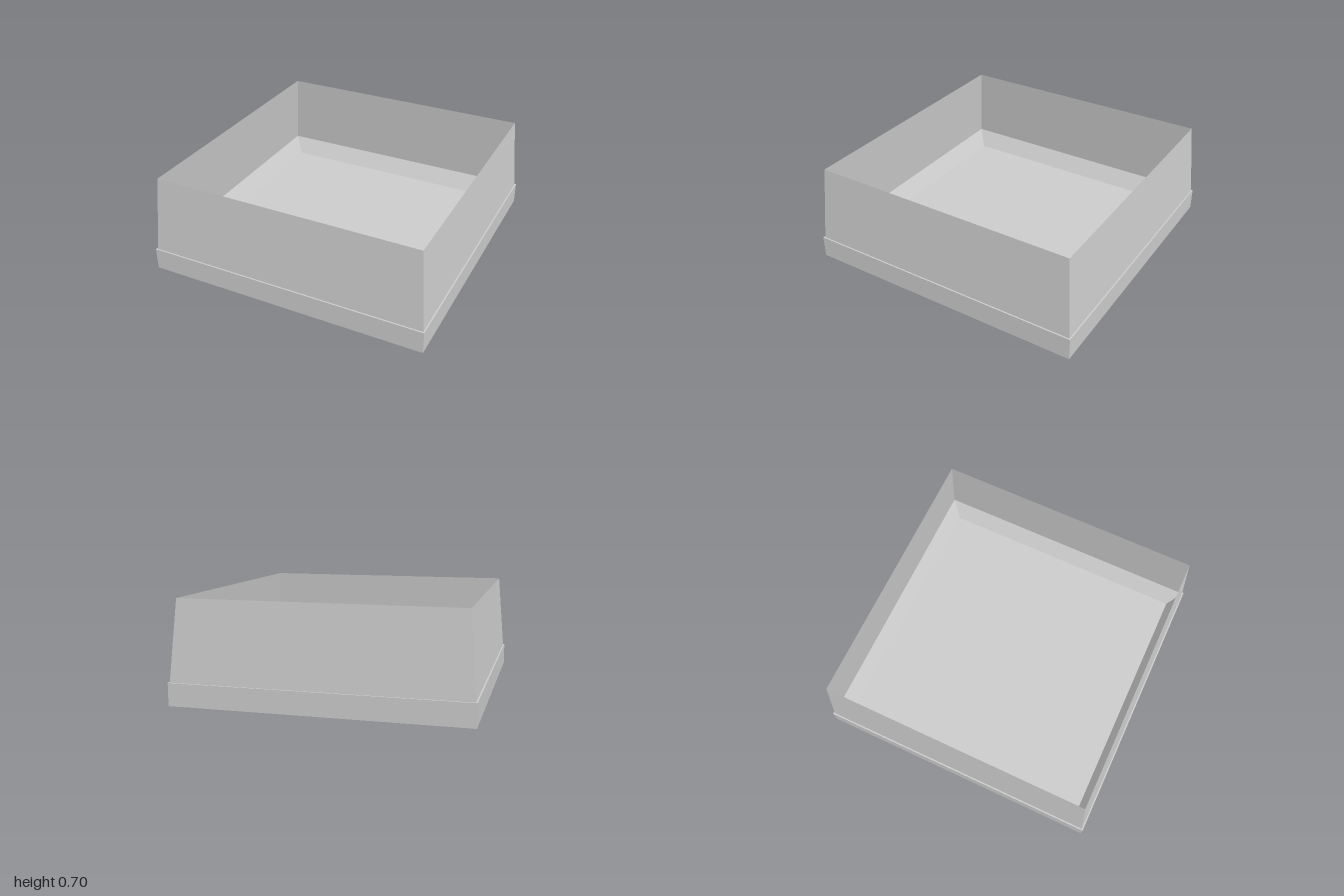
import * as THREE from 'three';

const material = new THREE.MeshStandardMaterial({
  color: 0xcccccc, flatShading: true, side: THREE.DoubleSide,
});

// Square shell swept from a profile of [half width, height] points
function squareShell(name, profile) {
  const points = profile.map(([half, y]) => new THREE.Vector2(half * Math.SQRT2, y));
  const mesh = new THREE.Mesh(new THREE.LatheGeometry(points, 4, Math.PI / 4), material);
  mesh.name = name;
  return mesh;
}

export function createModel() {
  const group = new THREE.Group();
  group.name = 'openTray';

  const bandTop = 0.155;
  const wallFoot = 0.99;

  // Upright band around the foot, with a narrow ledge on top
  group.add(squareShell('baseBand', [[1, 0], [1, bandTop], [wallFoot, bandTop]]));

  // Thin walls leaning inwards, open at the top
  group.add(squareShell('walls', [[wallFoot, bandTop], [0.945, 0.705]]));

  // Sloping inner rim, running down to the raised floor
  group.add(squareShell('floorSlope', [[wallFoot, bandTop], [0.912, 0.04]]));

  // Flat floor, open space beneath
  const floor = new THREE.Mesh(new THREE.PlaneGeometry(1.824, 1.824), material);
  floor.name = 'floor';
  floor.rotation.x = -Math.PI / 2;
  floor.position.y = 0.04;
  group.add(floor);

  return group;
}
